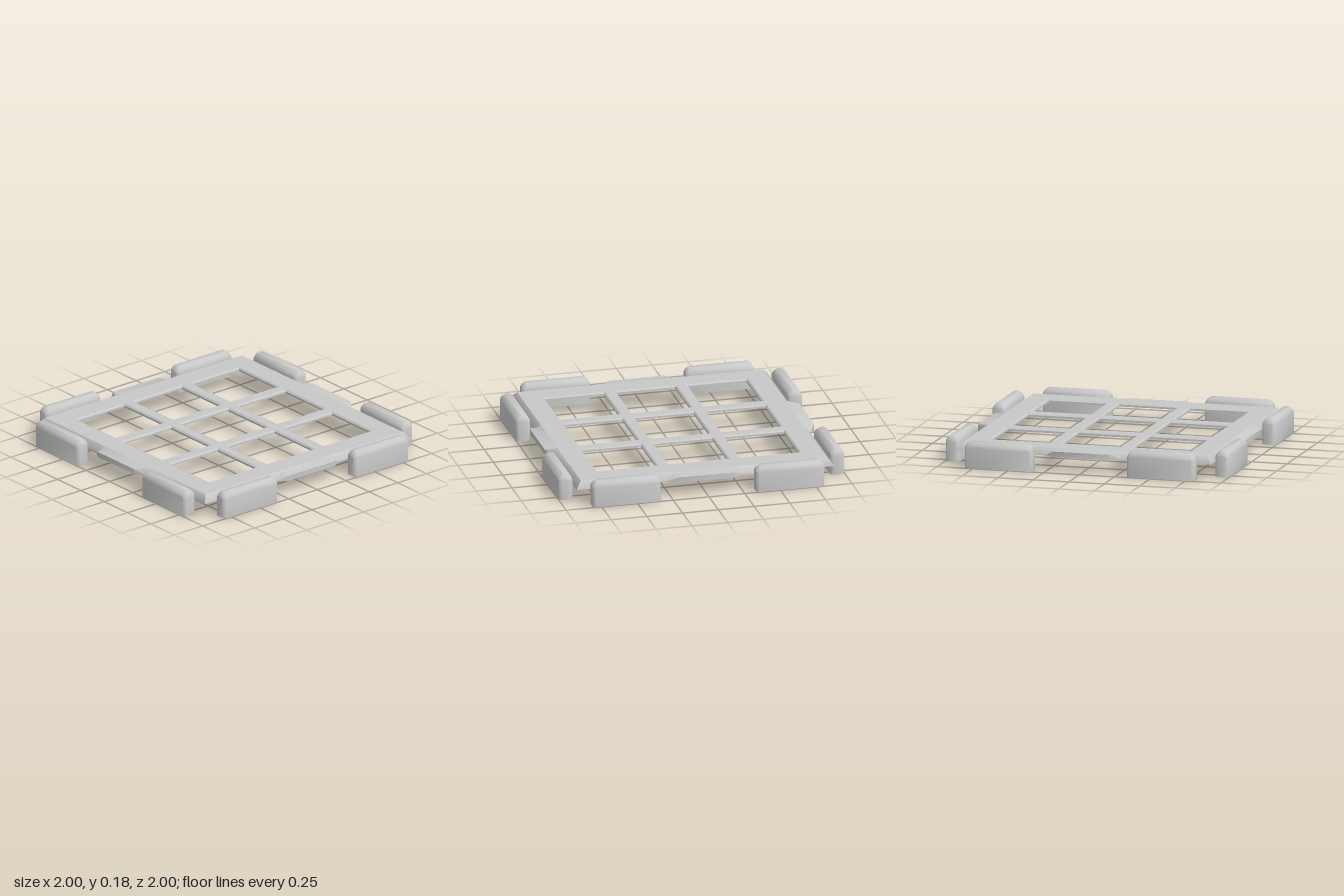
import * as THREE from 'three';
import { mergeGeometries, toCreasedNormals } from 'three/addons/utils/BufferGeometryUtils.js';

// Skin a stack of rings; each ring is [x, y, z] points, counter-clockwise from above, lowest ring first
function loft(rings) {
  const pos = [];
  for (let r = 0; r < rings.length - 1; r++) {
    const lo = rings[r], up = rings[r + 1], n = lo.length;
    for (let i = 0; i < n; i++) {
      const j = (i + 1) % n;
      pos.push(...lo[i], ...lo[j], ...up[j], ...lo[i], ...up[j], ...up[i]);
    }
  }
  return new THREE.BufferGeometry().setAttribute('position', new THREE.Float32BufferAttribute(pos, 3));
}

// Upward cap filling a level ring, with optional holes
function cap(ring, holes = []) {
  const flat = (r) => r.map(([x, , z]) => new THREE.Vector2(x, -z));
  const shape = new THREE.Shape(flat(ring));
  shape.holes = holes.map((h) => new THREE.Path(flat(h)));
  const g = new THREE.ShapeGeometry(shape).rotateX(-Math.PI / 2).translate(0, ring[0][1], 0).toNonIndexed();
  g.deleteAttribute('normal');
  g.deleteAttribute('uv');
  return g;
}

// Repeat one side's points around the four sides
function fourSides(side) {
  const ring = [];
  let pts = side;
  for (let k = 0; k < 4; k++) {
    ring.push(...pts);
    pts = pts.map(([x, y, z]) => [z, y, -x]);
  }
  return ring;
}

// Square hole outline
function square(cx, cz, h, y) {
  return [[-h, h], [h, h], [h, -h], [-h, -h]].map(([x, z]) => [cx + x, y, cz + z]);
}

// Rectangle outline with chamfered corners
function chamfered(w, d, c, y) {
  return [[-w + c, d], [w - c, d], [w, d - c], [w, -d + c],
    [w - c, -d], [-w + c, -d], [-w, -d + c], [-w, d - c]].map(([x, z]) => [x, y, z]);
}

// Thin pressed sheet, open underneath
function frameGeometry() {
  const TOP = 0.15, BOTTOM = 0.1;
  // Sloping skirt with a shallow tab in the middle of every side
  const ridge = fourSides([[-0.9, BOTTOM + 0.004, 0.9], [-0.26, BOTTOM + 0.004, 0.9], [-0.2, 0.138, 0.943],
    [0.2, 0.138, 0.943], [0.26, BOTTOM + 0.004, 0.9]]);
  const hem = ridge.map(([x, , z]) => [x, BOTTOM, z]);
  const top = fourSides([-0.86, -0.25, -0.2, 0.2, 0.25].map((x) => [x, TOP, 0.86]));
  const parts = [loft([hem, ridge, top])];

  // Nine openings with a short bevelled lip
  const holes = [];
  for (const x of [-0.5, 0, 0.5]) {
    for (const z of [-0.5, 0, 0.5]) {
      const rings = [[0.206, 0.127], [0.206, 0.14], [0.216, TOP]].map(([h, y]) => square(x, z, h, y));
      parts.push(loft(rings.map((r) => [...r].reverse())));
      holes.push(rings[2]);
    }
  }
  parts.push(cap(top, holes));
  return toCreasedNormals(mergeGeometries(parts), 0.75);
}

// Hollow foot block: upright sides, rounded-over top, open bottom
function footGeometry() {
  const W = 0.238, D = 0.049;
  const rings = [
    chamfered(W, D, 0.02, 0),
    chamfered(W, D, 0.02, 0.142),
    chamfered(W - 0.011, D - 0.012, 0.018, 0.165),
    chamfered(W - 0.027, D - 0.03, 0.01, 0.18),
  ];
  return toCreasedNormals(mergeGeometries([loft(rings), cap(rings[3])]), 0.9);
}

export function createModel() {
  const model = new THREE.Group();
  model.name = 'gridFrame';
  const grey = new THREE.MeshStandardMaterial({ color: 0xc8c8c8, side: THREE.DoubleSide });
  grey.name = 'grey';

  const frame = new THREE.Mesh(frameGeometry(), grey);
  frame.name = 'frame';
  model.add(frame);

  // Two feet along each side
  const foot = footGeometry();
  ['front', 'left', 'back', 'right'].forEach((name, k) => {
    const side = new THREE.Group();
    side.name = name + 'Feet';
    side.rotation.y = k * Math.PI / 2;
    for (const s of [-1, 1]) {
      const mesh = new THREE.Mesh(foot, grey);
      mesh.name = 'foot';
      mesh.position.set(s * 0.572, 0, 0.951);
      side.add(mesh);
    }
    model.add(side);
  });
  return model;
}
